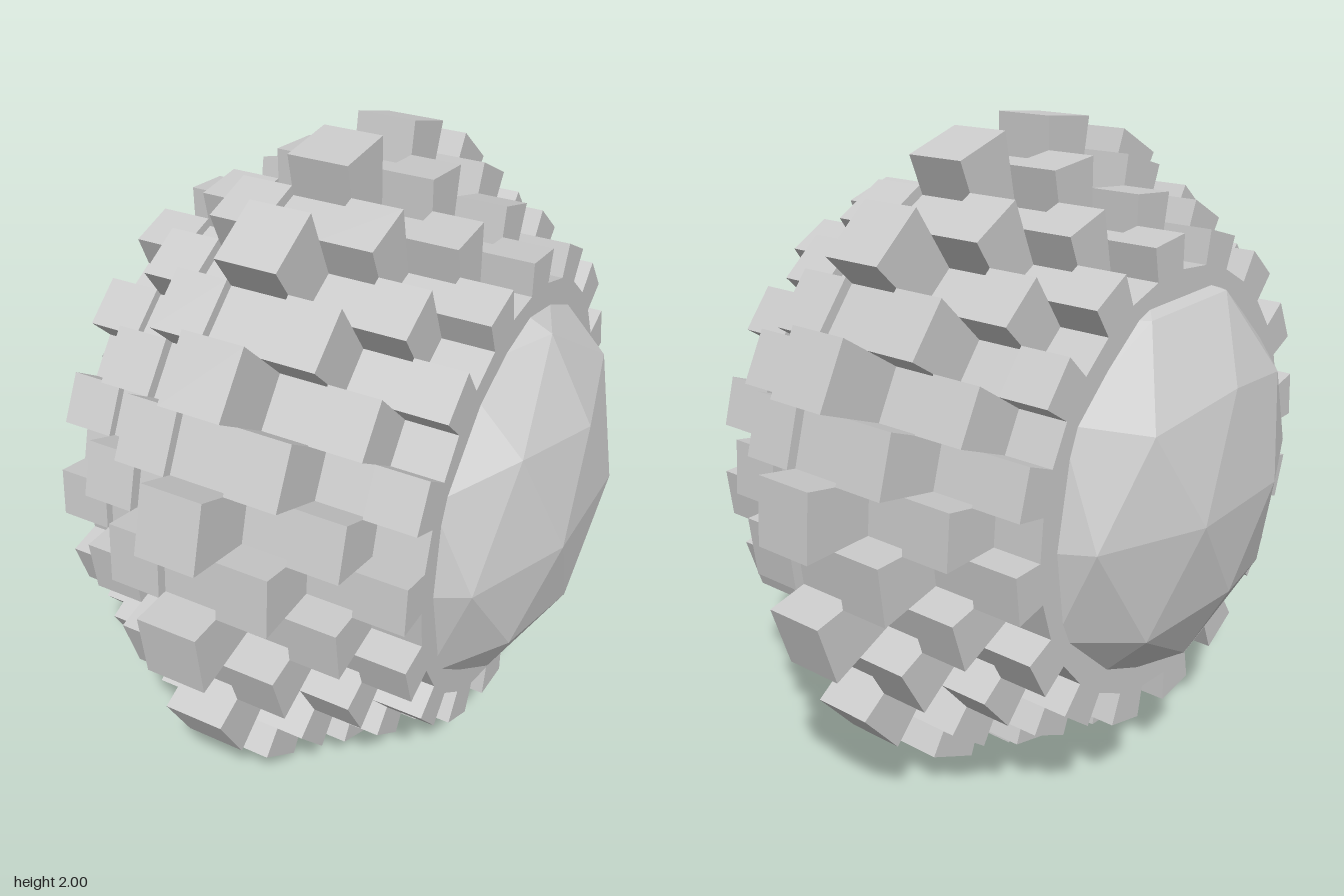
import * as THREE from 'three';

const SECTORS = 32; // teeth and gaps alternate around each ring
// Rings from the middle outwards: inner and outer x, tooth and gap radius
const RINGS = [
  { x0: -0.09, x1: 0.09, tooth: 1.0, gap: 0.875 },
  { x0: 0.09, x1: 0.243, tooth: 0.905, gap: 0.783 },
  { x0: 0.243, x1: 0.394, tooth: 0.816, gap: 0.705 },
  { x0: 0.394, x1: 0.545, tooth: 0.73, gap: 0.632 },
];

// Toothed disc with straight radial flanks, its axis along x
function ringGeometry({ x0, x1, tooth, gap }, parity) {
  const points = [];
  for (let k = 0; k < SECTORS; k++) {
    const r = k % 2 === parity ? tooth : gap;
    for (const end of [k, k + 1]) {
      const a = (end / SECTORS) * Math.PI * 2;
      points.push(new THREE.Vector2(-Math.sin(a) * r, Math.cos(a) * r));
    }
  }
  const geometry = new THREE.ExtrudeGeometry(new THREE.Shape(points), { depth: x1 - x0, bevelEnabled: false });
  return geometry.rotateY(Math.PI / 2).translate(x0, 0, 0);
}

// Faceted dome, standing on one of its corners before it is squashed
function domeGeometry() {
  const geometry = new THREE.IcosahedronGeometry(1, 1);
  geometry.rotateZ(-Math.atan(2 / (1 + Math.sqrt(5))));
  return geometry.scale(0.37, 0.632, 0.632);
}

export function createModel() {
  const model = new THREE.Group();
  model.name = 'studdedWheel';
  const material = new THREE.MeshStandardMaterial({ color: 0xcccccc, flatShading: true });
  const add = (name, geometry, x = 0) => {
    const mesh = new THREE.Mesh(geometry, material);
    mesh.name = name;
    mesh.position.set(x, 1, 0);
    model.add(mesh);
  };

  // Stepped tread: teeth of neighbouring rings are staggered
  RINGS.forEach((ring, i) => {
    if (i === 0) {
      add('centreTreadRing', ringGeometry(ring, 0));
      return;
    }
    add(`leftTreadRing${i}`, ringGeometry(ring, i % 2));
    add(`rightTreadRing${i}`, ringGeometry({ ...ring, x0: -ring.x1, x1: -ring.x0 }, i % 2));
  });

  // Bulging hub domes on both sides
  add('leftHubDome', domeGeometry(), 0.417);
  add('rightHubDome', domeGeometry(), -0.417);
  return model;
}
